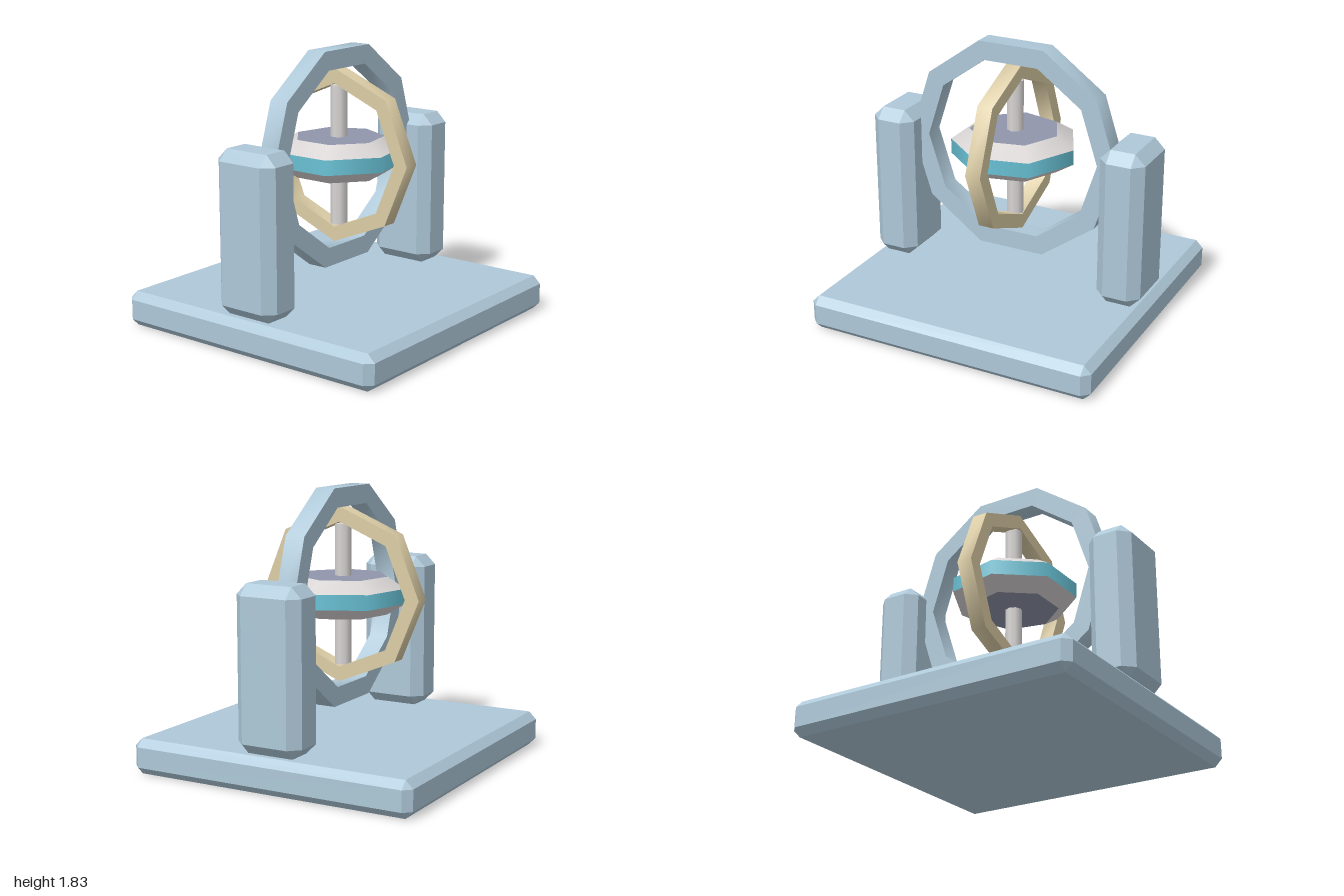
import * as THREE from 'three';
import { toCreasedNormals } from 'three/addons/utils/BufferGeometryUtils.js';
import { ConvexGeometry } from 'three/addons/geometries/ConvexGeometry.js';

const paint = (name, color) => {
  const m = new THREE.MeshStandardMaterial({ color });
  m.name = name;
  return m;
};

// Box with every edge and corner cut off at 45 degrees
function chamferBox(w, h, d, c) {
  const pts = [];
  for (const x of [-w / 2, w / 2])
    for (const y of [-h / 2, h / 2])
      for (const z of [-d / 2, d / 2]) {
        const ix = x - Math.sign(x) * c, iy = y - Math.sign(y) * c, iz = z - Math.sign(z) * c;
        pts.push(new THREE.Vector3(x, iy, iz), new THREE.Vector3(ix, y, iz), new THREE.Vector3(ix, iy, z));
      }
  return new ConvexGeometry(pts);
}

// Flat-faced polygon ring around z, smooth along its rims
function polygonRing(outer, inner, depth, sides) {
  const corners = r => Array.from({ length: sides }, (_, i) => {
    const a = (i / sides) * Math.PI * 2;
    return new THREE.Vector2(r * Math.cos(a), r * Math.sin(a));
  });
  const shape = new THREE.Shape(corners(outer));
  shape.holes.push(new THREE.Path(corners(inner)));
  const g = new THREE.ExtrudeGeometry(shape, { depth, bevelEnabled: false });
  g.translate(0, 0, -depth / 2);
  return toCreasedNormals(g, 0.85);
}

export function createModel() {
  const model = new THREE.Group();
  model.name = 'gyroscope';
  const blue = paint('pale blue', 0xaec8d8);
  const tan = paint('sand', 0xdccda6);
  const teal = paint('teal', 0x6ac4d8);
  const grey = paint('light grey', 0xd9d5d5);
  const slate = paint('slate', 0x9095ab);
  const centreY = 1.12;

  const add = (name, geometry, material, x, y, parent = model) => {
    const mesh = new THREE.Mesh(geometry, material);
    mesh.name = name;
    mesh.position.set(x, y, 0);
    parent.add(mesh);
    return mesh;
  };

  // Stand
  add('base', chamferBox(2, 0.235, 2, 0.05), blue, 0, 0.1175);
  for (const side of [-1, 1])
    add(side > 0 ? 'leftPillar' : 'rightPillar', chamferBox(0.305, 1.06, 0.46, 0.07), blue, side * 0.8275, 0.765);

  // Rings
  add('outerRing', polygonRing(0.746, 0.615, 0.135, 10), blue, 0, centreY);
  add('innerRing', polygonRing(0.58, 0.48, 0.105, 8).rotateY(Math.PI / 2), tan, 0, centreY);

  // Spinning rotor
  const rotor = new THREE.Group();
  rotor.name = 'rotor';
  rotor.position.y = centreY;
  model.add(rotor);
  const band = (rTop, rBottom, h) =>
    new THREE.CylinderGeometry(rTop, rBottom, h, 7, 1, true, Math.PI / 2);
  add('rotorRim', band(0.42, 0.42, 0.1), teal, 0, 0, rotor);
  add('rotorUpperBevel', band(0.3, 0.42, 0.075), grey, 0, 0.0875, rotor);
  add('rotorLowerBevel', band(0.42, 0.3, 0.075), grey, 0, -0.0875, rotor);
  for (const s of [1, -1])
    add(s > 0 ? 'rotorTop' : 'rotorBottom',
      new THREE.CircleGeometry(0.3, 7).rotateX(-s * Math.PI / 2), slate, 0, s * 0.125, rotor);
  add('axle', new THREE.CylinderGeometry(0.057, 0.057, 0.93, 8), grey, 0, 0, rotor);

  return model;
}
